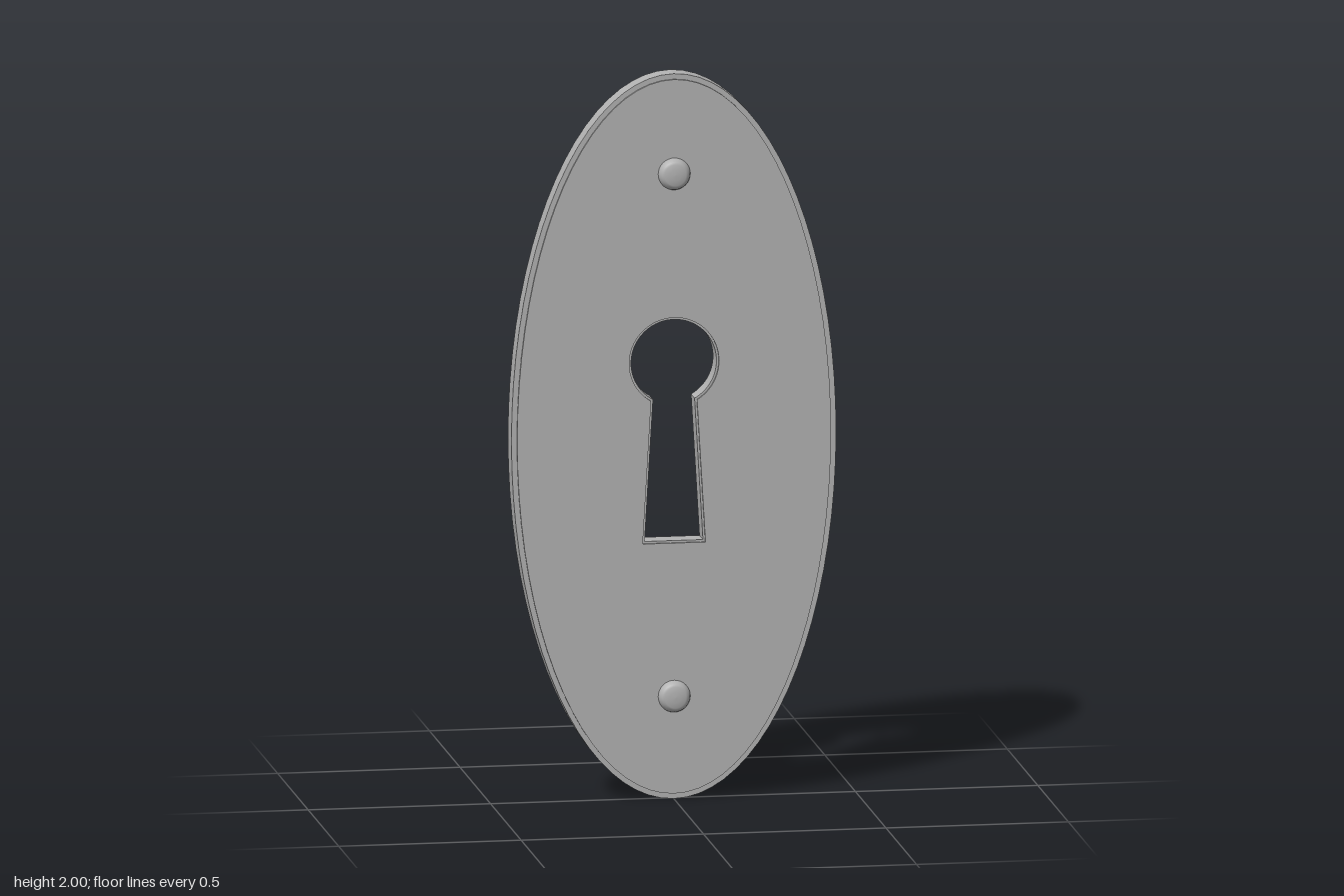
import * as THREE from 'three';

// Keyhole outline, grown outward by g
function keyhole(g) {
  const r = 0.117 + g, cy = 1.205, neck = 0.057 + g;
  const a = Math.acos(neck / r);
  const path = new THREE.Path();
  path.moveTo(-0.08 - g, 0.712 - g);
  path.lineTo(0.08 + g, 0.712 - g);
  path.lineTo(neck, cy - r * Math.sin(a));
  path.absarc(0, cy, r, -a, Math.PI + a, false);
  path.closePath();
  return path;
}

// Oval slab pierced by the keyhole
function ovalSlab(name, inset, grow, z0, z1, material) {
  const shape = new THREE.Shape();
  shape.absellipse(0, 1, 0.445 - inset, 1 - inset, 0, Math.PI * 2, false, 0);
  shape.holes.push(keyhole(grow));
  const geometry = new THREE.ExtrudeGeometry(shape, {
    depth: z1 - z0, bevelEnabled: false, curveSegments: 40,
  });
  geometry.translate(0, 0, z0);
  const mesh = new THREE.Mesh(geometry, material);
  mesh.name = name;
  return mesh;
}

export function createModel() {
  const group = new THREE.Group();
  group.name = 'keyholePlate';
  const metal = new THREE.MeshStandardMaterial({ color: 0xb2b2b2 });
  metal.name = 'grey metal';

  // Backing plate and the slightly smaller raised face
  group.add(ovalSlab('backPlate', 0, 0, -0.045, 0.013, metal));
  group.add(ovalSlab('raisedFace', 0.015, 0.006, 0.013, 0.019, metal));

  // Domed screw heads, turned to face the front
  const profile = [
    [0.043, 0.01], [0.044, 0.022], [0.041, 0.031],
    [0.035, 0.039], [0.029, 0.042], [0.015, 0.0445], [0, 0.045],
  ].map(([r, h]) => new THREE.Vector2(r, h));
  const head = new THREE.LatheGeometry(profile, 32).rotateX(Math.PI / 2);
  for (const [name, y] of [['upperScrew', 1.725], ['lowerScrew', 0.284]]) {
    const screw = new THREE.Mesh(head, metal);
    screw.name = name;
    screw.position.y = y;
    group.add(screw);
  }
  return group;
}
